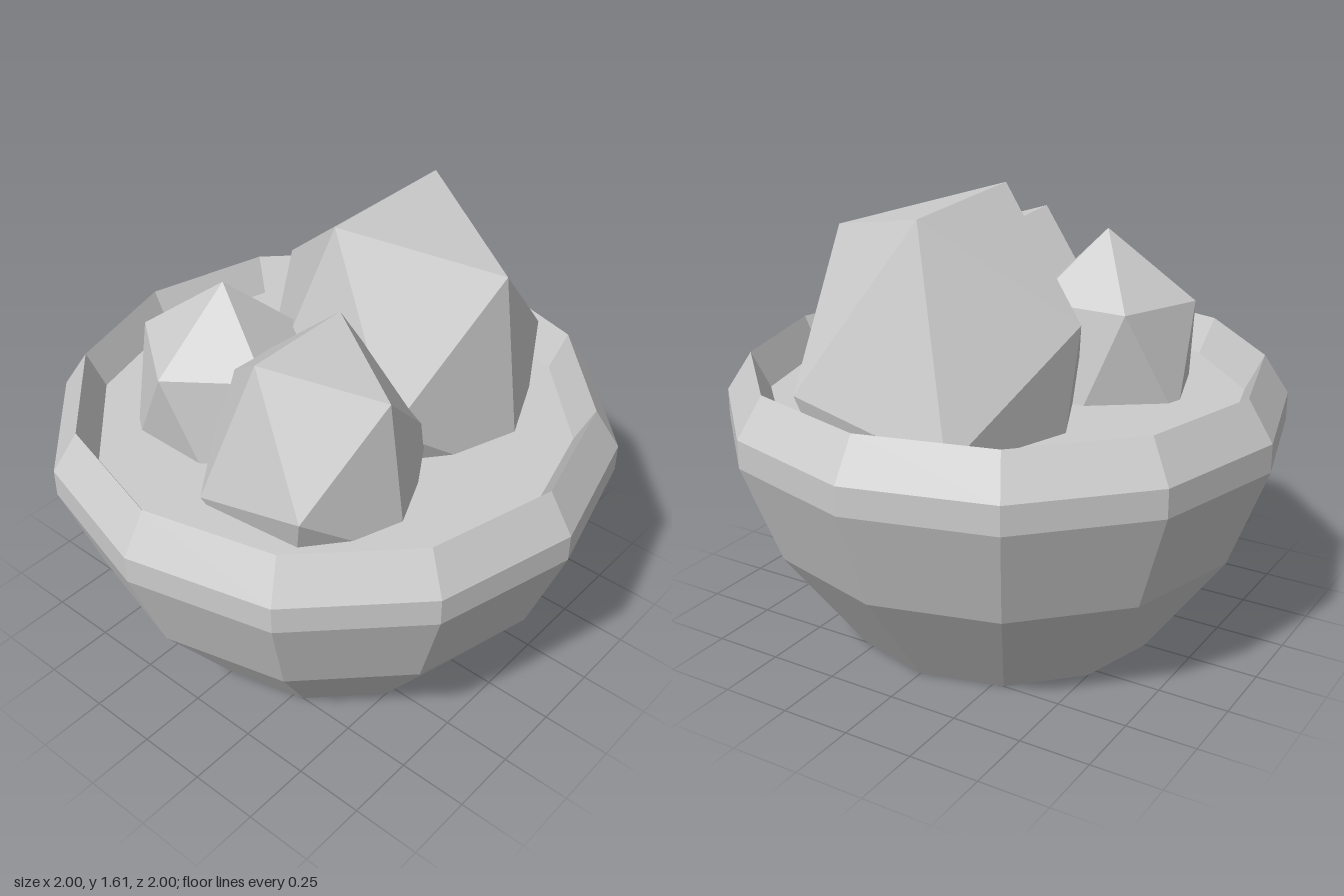
import * as THREE from 'three';

const material = new THREE.MeshStandardMaterial({ color: 0xcccccc, flatShading: true });

function addPart(group, name, geometry) {
  const mesh = new THREE.Mesh(geometry, material);
  mesh.name = name;
  group.add(mesh);
  return mesh;
}

// Icosahedron whose corners are permutations of (±1, ±1.618, 0)
const rawChunk = () => new THREE.IcosahedronGeometry(Math.hypot(1, (1 + Math.sqrt(5)) / 2), 0);

// Tall, slightly tilted and skewed rock shape
function tiltedChunk() {
  return rawChunk().applyMatrix4(new THREE.Matrix4().set(
    0.284, -0.008, 0.012, 0,
    -0.010, 0.396, 0.071, 0,
    -0.012, -0.049, 0.284, 0,
    0, 0, 0, 1
  ).multiply(new THREE.Matrix4().makeShear(0, 0, 0, 0, 0, 0)));
}

// Rock shape standing on one corner, leaning a little
function pointedChunk() {
  return rawChunk().rotateZ(Math.atan(2 / (1 + Math.sqrt(5)))).applyMatrix4(new THREE.Matrix4().set(
    0.176, 0, 0, 0,
    0.006, 0.228, 0, 0,
    0, 0.017, 0.176, 0,
    0, 0, 0, 1
  ));
}

export function createModel() {
  const model = new THREE.Group();
  model.name = 'bowlOfChunks';

  // Twelve-sided bowl with bevelled rim and inner lip
  const profile = [
    [0, 0], [0.577, 0], [0.866, 0.4], [1, 0.76], [1, 0.86], [0.91, 1], [0.845, 0.87],
  ].map(([r, y]) => new THREE.Vector2(r, y));
  addPart(model, 'bowl', new THREE.LatheGeometry(profile, 12));

  // Flat filling just below the rim
  const filling = new THREE.CircleGeometry(0.845, 12).rotateX(-Math.PI / 2);
  addPart(model, 'filling', filling).position.y = 0.87;

  // Chunks heaped in the bowl
  addPart(model, 'largeChunk', tiltedChunk()).position.set(0.3, 0.96, 0.069);

  const medium = addPart(model, 'mediumChunk', tiltedChunk());
  medium.scale.setScalar(0.737);
  medium.position.set(-0.32, 0.938, 0.198);

  addPart(model, 'smallChunk', pointedChunk()).position.set(-0.268, 0.996, -0.285);

  return model;
}
